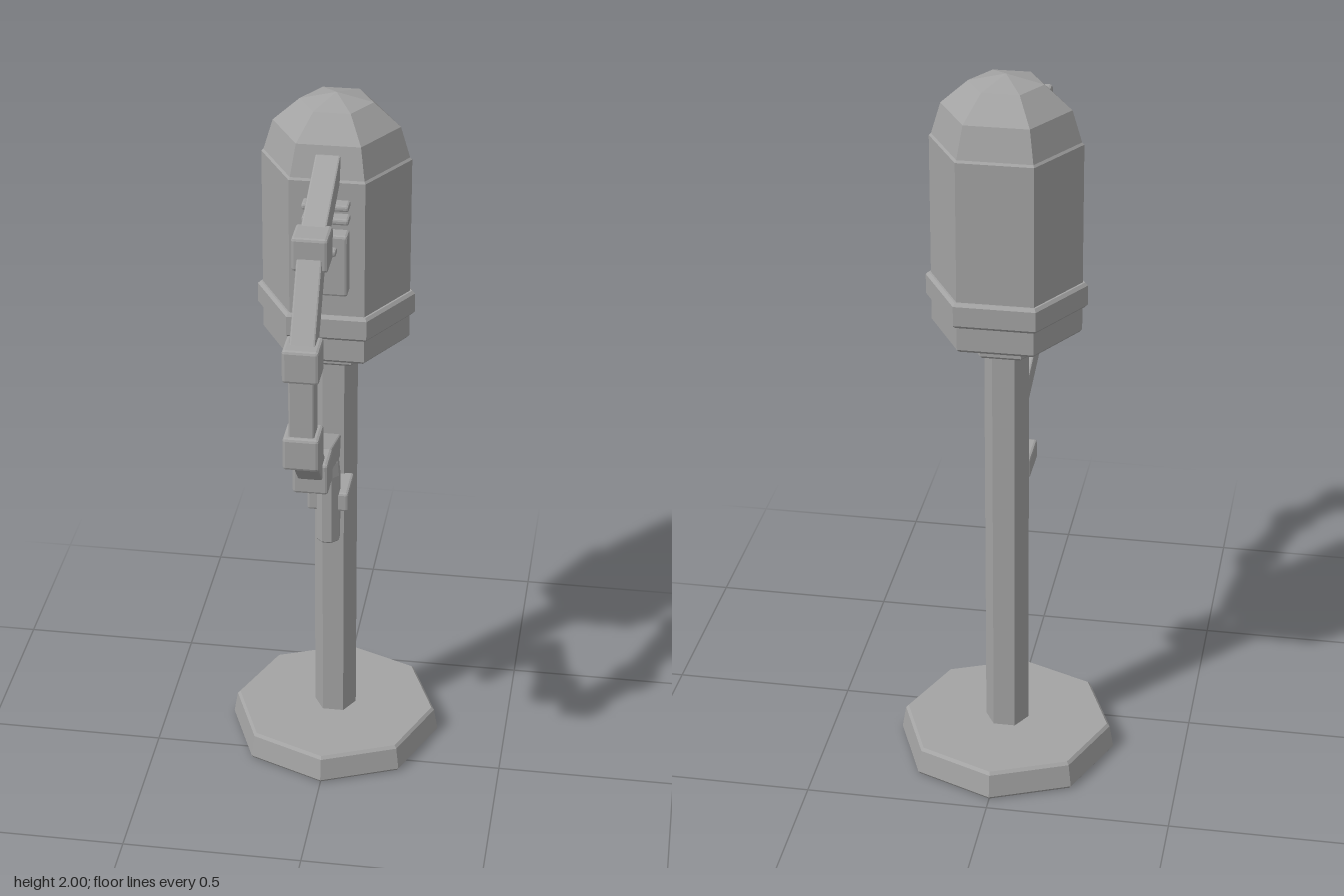
import * as THREE from 'three';
import { RoundedBoxGeometry } from 'three/addons/geometries/RoundedBoxGeometry.js';

export function createModel() {
  const model = new THREE.Group();
  const grey = new THREE.MeshStandardMaterial({ color: 0xa3a3a3, flatShading: true });
  grey.name = 'grey metal';
  const axisZ = -0.16; // centre line of the post

  const add = (name, geometry, x, y, z) => {
    const mesh = new THREE.Mesh(geometry, grey);
    mesh.name = name;
    mesh.position.set(x, y, z);
    model.add(mesh);
    return mesh;
  };

  // Faceted solid of revolution; the profile runs from bottom to top
  const turned = (name, profile, sides, turn = 0, z = axisZ) =>
    add(name, new THREE.LatheGeometry(
      profile.map(([r, y]) => new THREE.Vector2(r, y)), sides, turn), 0, 0, z);

  // Chamfered box
  const block = (name, w, h, d, x, y, z, bevel = 0.007) =>
    add(name, new RoundedBoxGeometry(w, h, d, 1, bevel), x, y, z);

  const hex = Math.PI / 6;

  // Base and post
  turned('base', [[0, 0], [0.297, 0], [0.303, 0.008], [0.292, 0.072], [0.284, 0.08], [0, 0.08]], 8);
  turned('post', [[0, 0.07], [0.06, 0.07], [0.06, 1.27], [0, 1.27]], 6, hex);

  // Neck, lower skirt and collar under the head
  turned('neck', [[0, 1.245], [0.102, 1.245], [0.109, 1.252], [0.109, 1.31], [0, 1.31]], 6, hex);
  turned('skirt', [[0, 1.297], [0.192, 1.297], [0.2, 1.305], [0.2, 1.39], [0, 1.39]], 6, hex);
  turned('collar', [[0, 1.37], [0.206, 1.37], [0.214, 1.378], [0.214, 1.432], [0.206, 1.44], [0, 1.44]], 6, hex);

  // Main body and faceted dome
  turned('body', [[0, 1.42], [0.2, 1.42], [0.2, 1.822], [0.19, 1.832], [0, 1.832]], 6, hex);
  const dome = [];
  for (let i = 0; i <= 3; i++) {
    const a = i * Math.PI / 6;
    dome.push([i === 3 ? 0 : 0.195 * Math.cos(a), 1.825 + 0.175 * Math.sin(a)]);
  }
  turned('dome', dome, 6, hex);

  // Front panel with its slot, and the two slats above it
  block('frontPanel', 0.12, 0.175, 0.06, 0, 1.603, 0.025);
  block('panelSlot', 0.066, 0.018, 0.04, 0, 1.65, 0.06, 0.006);
  for (const y of [1.765, 1.727]) block('slat', 0.124, 0.018, 0.06, 0, y, 0.02, 0.006);

  // Segmented hose, listed as [z, y], with a block at each bend
  const hose = [[-0.02, 1.86], [0.265, 1.755], [0.42, 1.52], [0.42, 1.27], [0.265, 1.11], [-0.02, 1.025]];
  hose.slice(1).forEach(([z1, y1], i) => {
    const [z0, y0] = hose[i];
    const length = Math.hypot(z1 - z0, y1 - y0);
    const link = block('hoseLink', 0.066, 0.066, length, 0, (y0 + y1) / 2, (z0 + z1) / 2, 0.005);
    link.rotation.x = -Math.atan2(y1 - y0, z1 - z0);
    if (i < 4) block('hoseJoint', 0.094, 0.092, 0.092, 0, y1, z1, 0.008);
  });

  // Hanging nozzle and the bracket holding it to the post
  turned('nozzle', [[0, 0.73], [0.03, 0.73], [0.034, 0.735], [0.034, 0.94], [0.03, 0.98], [0.018, 1.02], [0, 1.02]],
    8, Math.PI / 8, -0.015);
  block('bracket', 0.114, 0.058, 0.12, 0, 0.855, -0.06);

  return model;
}
